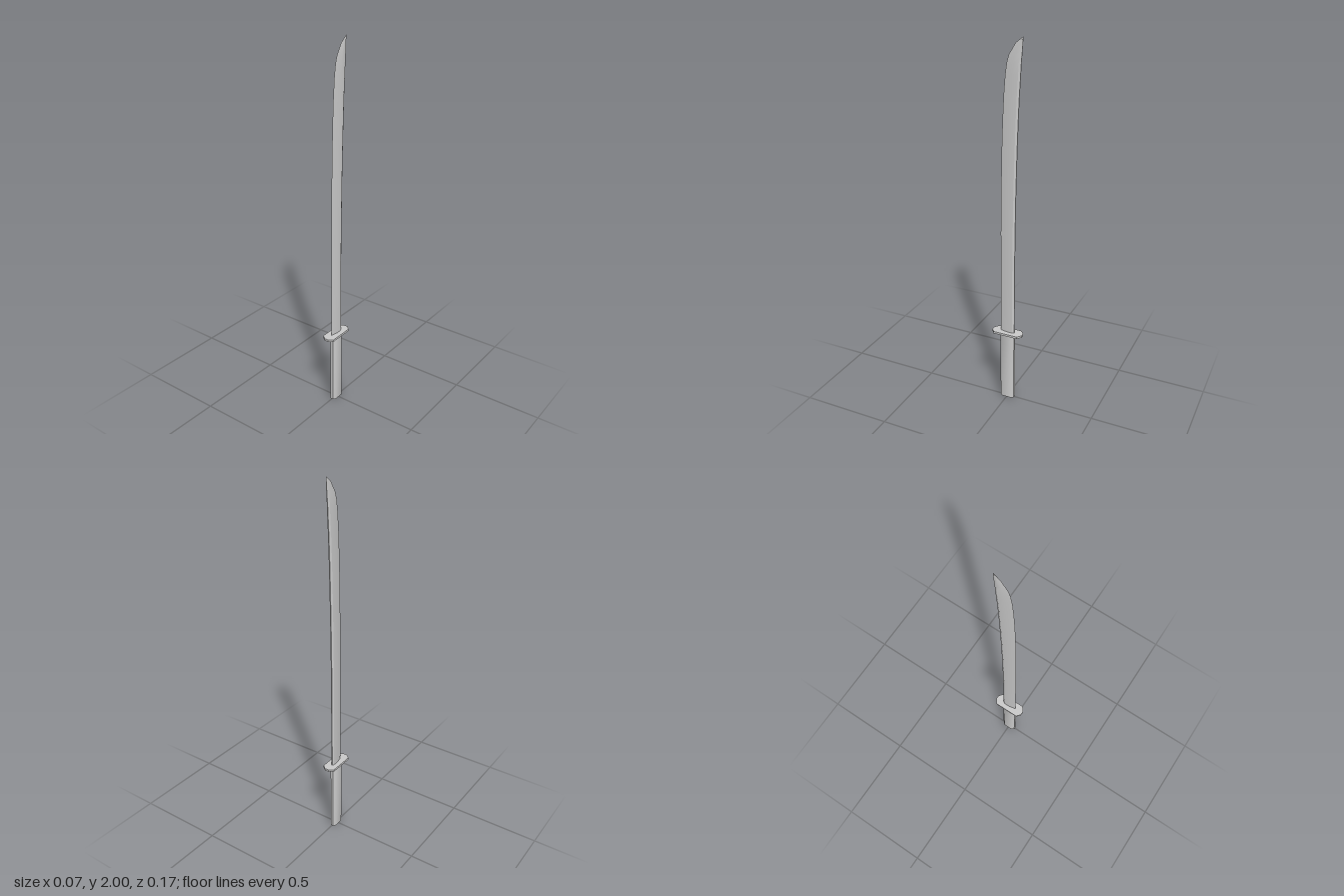
import * as THREE from 'three';
import { toCreasedNormals } from 'three/addons/utils/BufferGeometryUtils.js';

const steel = new THREE.MeshStandardMaterial({ color: 0xcccccc });

// Skins a stack of cross-sections; each is { y, ring: [[x, z], ...] } running from +z towards +x.
function loft(name, sections, crease) {
  const n = sections[0].ring.length;
  const position = [];
  const index = [];
  for (const { y, ring } of sections) {
    for (const [x, z] of ring) position.push(x, y, z);
  }
  for (let j = 0; j < sections.length - 1; j++) {
    for (let i = 0; i < n; i++) {
      const a = j * n + i;
      const b = j * n + ((i + 1) % n);
      index.push(a, b, b + n, a, b + n, a + n);
    }
  }
  // End caps
  const top = (sections.length - 1) * n;
  for (let i = 1; i < n - 1; i++) {
    index.push(0, i + 1, i);
    index.push(top, top + i, top + i + 1);
  }
  const geometry = new THREE.BufferGeometry();
  geometry.setAttribute('position', new THREE.Float32BufferAttribute(position, 3));
  geometry.setIndex(index);
  const mesh = new THREE.Mesh(toCreasedNormals(geometry, crease), steel);
  mesh.name = name;
  return mesh;
}

// Rectangle with cut corners: half sizes hx, hz and the corner cuts cx, cz
function octagon(hx, hz, cx, cz) {
  const x = hx - cx;
  const z = hz - cz;
  return [[x, hz], [hx, z], [hx, -z], [x, -hz], [-x, -hz], [-hx, -z], [-hx, z], [-x, hz]];
}

// Blade section: sharp edge in front, flat cheeks, narrow bevelled spine
function bladeRing(edge, spine, w) {
  const depth = edge - spine;
  const shoulder = edge - depth * 0.5;
  const bevel = spine + Math.min(0.011, depth * 0.3);
  const s = w * 0.35;
  return [[0, edge], [w, shoulder], [w, bevel], [s, spine], [-s, spine], [-w, bevel], [-w, shoulder]];
}

export function createModel() {
  const sword = new THREE.Group();
  sword.name = 'sword';

  // Handle
  const grip = octagon(0.018, 0.04, 0.01, 0.014);
  sword.add(loft('handle', [{ y: 0, ring: grip }, { y: 0.41, ring: grip }], 0.9));

  // Guard
  const plate = octagon(0.035, 0.087, 0.023, 0.019);
  sword.add(loft('guard', [{ y: 0.408, ring: plate }, { y: 0.42, ring: plate }], 0.5));

  // Blade: height, cutting edge z, spine z, half thickness
  const stations = [
    [0.415, 0.04, -0.04, 0.008],
    [0.7, 0.04, -0.04, 0.008],
    [1.0, 0.04, -0.042, 0.008],
    [1.25, 0.037, -0.046, 0.008],
    [1.45, 0.033, -0.051, 0.008],
    [1.6, 0.028, -0.056, 0.008],
    [1.72, 0.022, -0.061, 0.0075],
    [1.82, 0.014, -0.067, 0.007],
    [1.88, 0.005, -0.07, 0.0065],
    [1.915, -0.006, -0.073, 0.005],
    [1.97, -0.04, -0.077, 0.003],
    [2.0, -0.078, -0.079, 0.0005],
  ];
  sword.add(loft('blade', stations.map(([y, edge, spine, w]) => ({ y, ring: bladeRing(edge, spine, w) })), 0.35));

  return sword;
}
